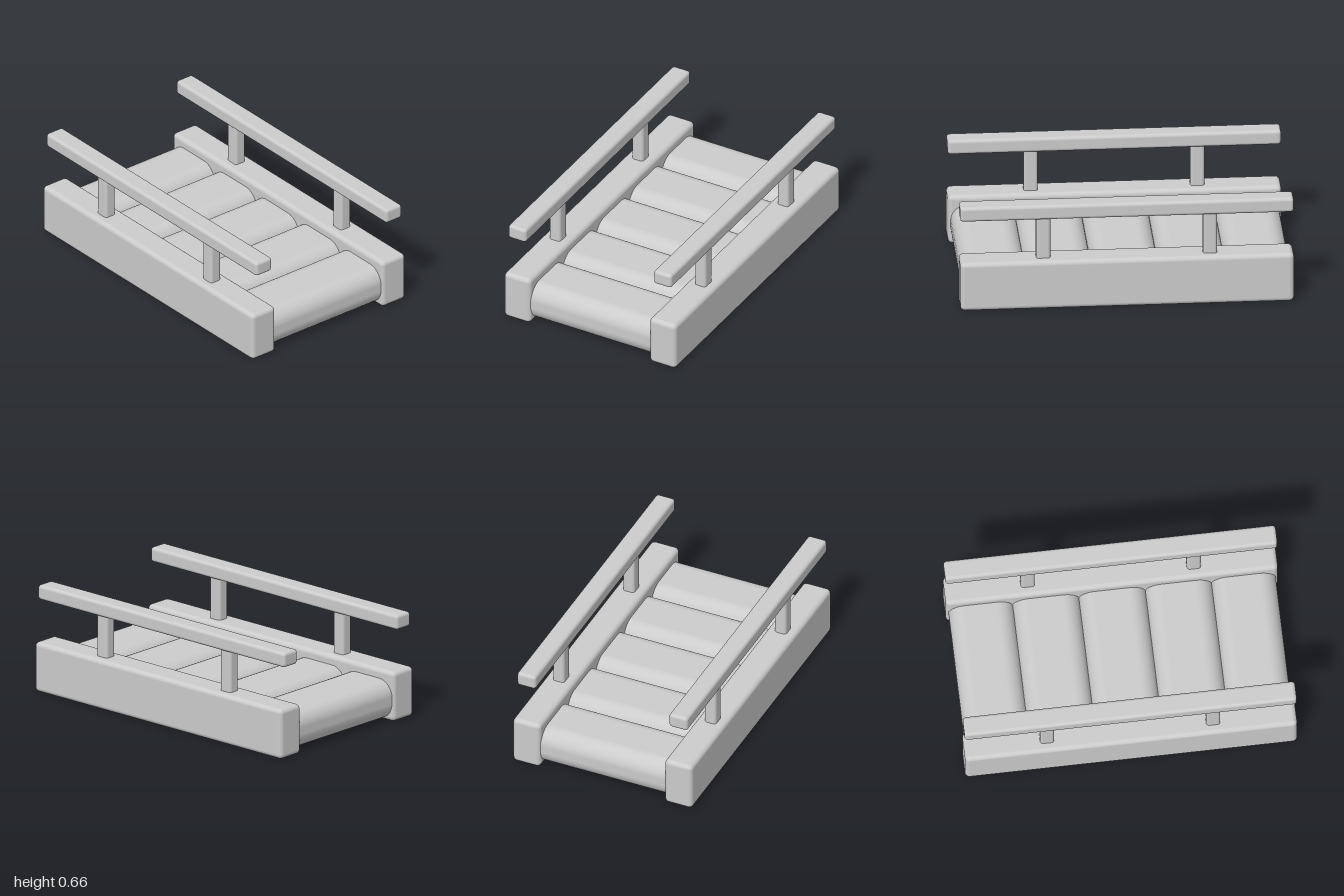
import * as THREE from 'three';
import { RoundedBoxGeometry } from 'three/addons/geometries/RoundedBoxGeometry.js';

const material = new THREE.MeshStandardMaterial({ color: 0xcccccc });

// Smooth-edged block centred on x and z, spanning y0 to y1
function block(name, width, y0, y1, depth, radius, x, z) {
  const geometry = new RoundedBoxGeometry(width, y1 - y0, depth, 5, radius);
  const mesh = new THREE.Mesh(geometry, material);
  mesh.name = name;
  mesh.position.set(x, (y0 + y1) / 2, z);
  return mesh;
}

export function createModel() {
  const model = new THREE.Group();
  model.name = 'footbridge';

  // Side beams, posts and handrails, mirrored left and right
  for (const [side, sign] of [['left', 1], ['right', -1]]) {
    const group = new THREE.Group();
    group.name = `${side}Side`;
    const x = 0.5 * sign;
    group.add(block('sideBeam', 0.182, 0.004, 0.315, 2, 0.028, x, 0));
    group.add(block('handrail', 0.123, 0.574, 0.666, 2, 0.02, x, 0));
    for (const z of [-0.5, 0.5]) {
      group.add(block('railPost', 0.076, 0.25, 0.62, 0.085, 0.018, x, z));
    }
    model.add(group);
  }

  // Rounded planks with their ends hidden inside the beams
  const planks = new THREE.Group();
  planks.name = 'planks';
  for (const z of [-0.79, -0.4, 0, 0.4, 0.79]) {
    planks.add(block('plank', 1.1, 0.015, 0.257, Math.abs(z) > 0.5 ? 0.39 : 0.405, 0.1, 0, z));
  }
  model.add(planks);

  return model;
}
